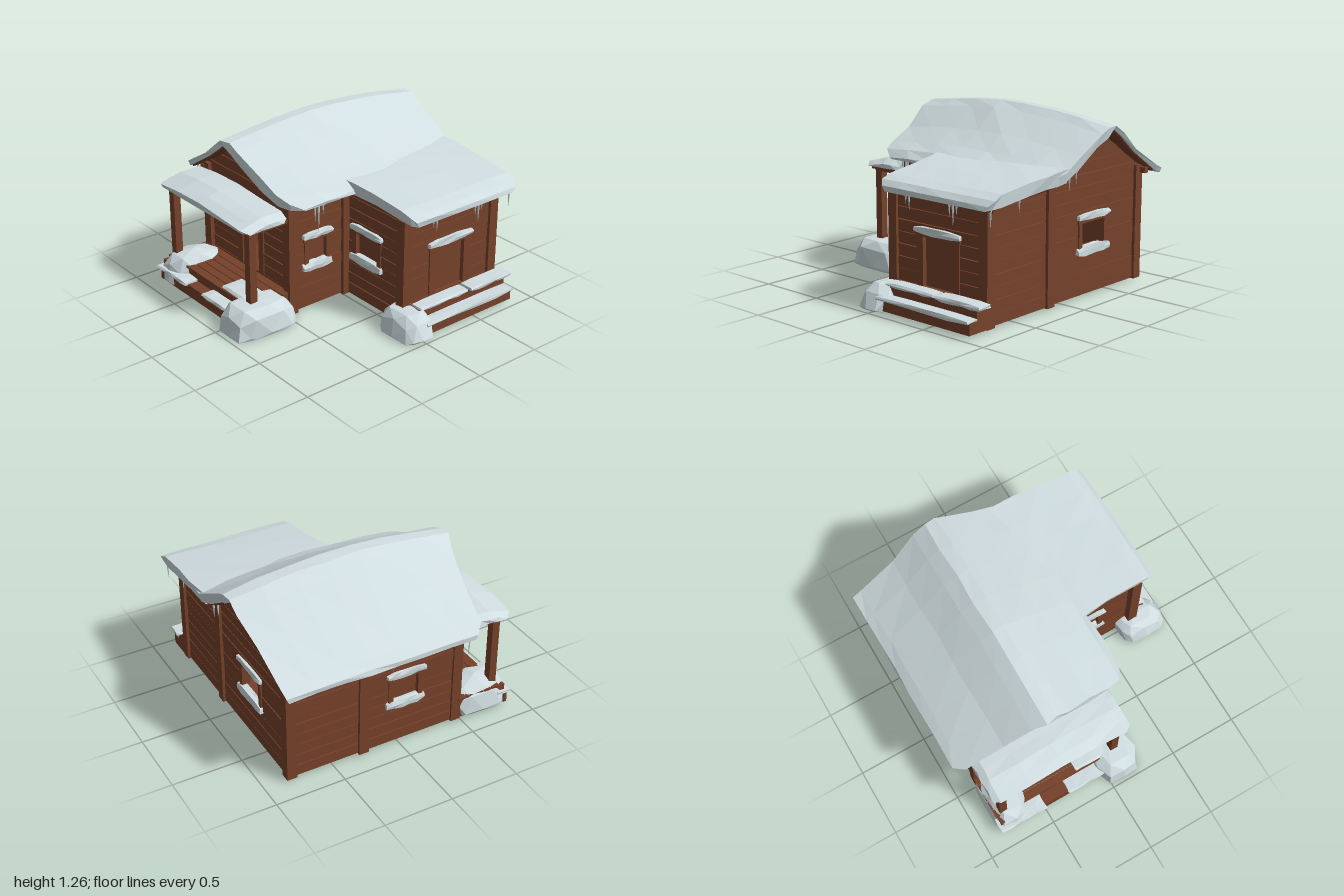
import * as THREE from 'three';

const mat = (name, color) => Object.assign(new THREE.MeshStandardMaterial({ color }), { name });
const wood = mat('wood', 0x75412a);
const snow = mat('snow', 0xd0dde0);

// Repeatable noise in -1..1 from a position
const noise = (x, y, z) => {
  const s = Math.sin(Math.round(x * 999) * 12.9 + Math.round(y * 999) * 78.2 + Math.round(z * 999) * 37.7) * 43758.5;
  return (s - Math.floor(s)) * 2 - 1;
};

function faceted(geo) {
  const g = geo.index ? geo.toNonIndexed() : geo;
  g.computeVertexNormals();
  return g;
}

function add(parent, name, geo, material, x = 0, y = 0, z = 0) {
  const m = new THREE.Mesh(geo, material);
  m.name = name;
  m.position.set(x, y, z);
  parent.add(m);
  return m;
}

// Wooden box given by its limits
const block = (parent, name, x0, x1, y0, y1, z0, z1) =>
  add(parent, name, new THREE.BoxGeometry(x1 - x0, y1 - y0, z1 - z0), wood, (x0 + x1) / 2, (y0 + y1) / 2, (z0 + z1) / 2);

// Uneven bar of snow with tapered ends, given by its limits
function snowBar(parent, name, x0, x1, y0, y1, z0, z1) {
  const w = x1 - x0, h = y1 - y0, d = z1 - z0, alongX = w > d;
  const g = new THREE.BoxGeometry(w, h, d, alongX ? 5 : 2, 2, alongX ? 2 : 5);
  const p = g.attributes.position;
  for (let i = 0; i < p.count; i++) {
    const x = p.getX(i), y = p.getY(i), z = p.getZ(i);
    const end = Math.abs(alongX ? x / w : z / d) > 0.45 ? 0.65 : 1;
    const corner = Math.abs(y / h) > 0.4 ? 0.85 : 1;
    const n = noise(x + x0, y + y0, z + z0);
    p.setXYZ(i, x * (alongX ? 1 : corner) + n * 0.004, y * end * (1 + n * 0.15), z * (alongX ? corner : 1) + n * 0.004);
  }
  add(parent, name, faceted(g), snow, (x0 + x1) / 2, (y0 + y1) / 2, (z0 + z1) / 2);
}

// Blocky drift, widest at its flat base; the top leans by leanX and leanZ
function drift(parent, name, x0, x1, y0, y1, z0, z1, leanX = 0, leanZ = 0) {
  const g = new THREE.IcosahedronGeometry(1, 1);
  const p = g.attributes.position;
  const swell = v => Math.sign(v) * Math.abs(v) ** 0.7;
  for (let i = 0; i < p.count; i++) {
    const x = p.getX(i), y = p.getY(i), z = p.getZ(i);
    const k = 0.99 + noise(x + x0, y, z + z0) * 0.07;
    const up = (Math.max(swell(y) * k, -0.1) + 0.1) / 1.1;
    p.setXYZ(i, swell(x) * k * (x1 - x0) / 2 + up * leanX, up * (y1 - y0), swell(z) * k * (z1 - z0) / 2 + up * leanZ);
  }
  add(parent, name, faceted(g), snow, (x0 + x1) / 2, y0, (z0 + z1) / 2);
}

// Sheet swept along z; columns are [x, topY, bottomY, zBack, zFront], sag bends the top by z
function slab(parent, name, material, cols, rows, sag, rough) {
  const m = cols.length, n = 2 * m, pos = [], idx = [];
  for (let i = 0; i <= rows; i++) {
    for (let k = 0; k < n; k++) {
      const top = k < m, [x, yt, yb, zb, zf] = cols[top ? k : n - 1 - k];
      const inset = top ? 0 : 0.015;
      const z = THREE.MathUtils.lerp(zb + inset, zf - inset, i / rows);
      const r = noise(x, top ? 1 : 2, i / rows) * rough;
      pos.push(x + r, (top ? yt - sag(z, yt) : yb) + r * 0.5, z + r);
    }
  }
  for (let i = 0; i < rows; i++) for (let k = 0; k < n; k++) {
    const a = i * n + k, b = i * n + (k + 1) % n, c = a + n, d = b + n;
    idx.push(a, c, b, b, c, d);
  }
  for (let j = 0; j < m - 1; j++) {
    const f = rows * n, t0 = j, t1 = j + 1, b0 = n - 1 - j, b1 = n - 2 - j;
    idx.push(f + t0, f + b0, f + b1, f + t0, f + b1, f + t1);
    idx.push(t0, b1, b0, t0, t1, b1);
  }
  const g = new THREE.BufferGeometry();
  g.setAttribute('position', new THREE.Float32BufferAttribute(pos, 3));
  g.setIndex(idx);
  add(parent, name, faceted(g), material);
}

const flat = () => 0;

// Thin wooden boarding just under a snow slab
const boarding = (parent, name, cols) =>
  slab(parent, name, wood, cols.map(([x, , yb, zb, zf]) => [x, yb + 0.008, yb - 0.014, zb + 0.025, zf - 0.025]), 1, flat, 0);

const extrude = (pts, depth, holes = []) => {
  const s = new THREE.Shape(pts.map(p => new THREE.Vector2(...p)));
  holes.forEach(h => s.holes.push(new THREE.Path(h.map(p => new THREE.Vector2(...p)))));
  return new THREE.ExtrudeGeometry(s, { depth, bevelEnabled: false });
};

const ROW = 0.25 / 3, BASE = 0.02;

// Plank wall facing local +z, with framed openings {x, w, door, open, bare} and an optional gable apex
function wall(parent, name, x, z, turn, len, top, openings = [], apex = 0) {
  const g = new THREE.Group();
  g.name = name;
  g.position.set(x, 0, z);
  g.rotation.y = turn;
  parent.add(g);
  const hw = len / 2, peak = apex || top;
  const half = y => (apex && y > top ? hw * Math.max(0.01, (apex - y) / (apex - top)) : hw);
  const lim = o => [o.x - o.w / 2, o.x + o.w / 2, BASE + ROW * (o.door ? 2 : 4), BASE + ROW * 6];
  // inner lining behind the planks
  const outline = [[-hw, BASE], [hw, BASE], [hw, top]];
  if (apex) outline.push([0, apex]);
  outline.push([-hw, top]);
  const holes = openings.filter(o => o.open).map(o => {
    const [a, b, c, d] = lim(o);
    return [[a, c], [a, d], [b, d], [b, c]];
  });
  add(g, 'innerLining', extrude(outline, 0.02, holes), wood, 0, 0, -0.052);
  // planks, cut at openings
  for (let y0 = BASE; y0 < peak - 0.01; y0 += ROW) {
    const y1 = Math.min(y0 + ROW, peak), mid = (y0 + y1) / 2;
    let spans = [[-len, len]];
    for (const o of openings) {
      const [a, b, c, d] = lim(o);
      if (mid > c && mid < d) spans = spans.flatMap(([l, r]) => [[l, a], [b, r]]);
    }
    for (const [l, r] of spans) {
      const cl = (v, y) => THREE.MathUtils.clamp(v, -half(y), half(y));
      const j = k => 0.0025 + 0.0025 * noise(l + x, mid + k, r + z);
      const pts = [[cl(l, y0), y0 + j(1)], [cl(r, y0), y0 + j(2)], [cl(r, y1), y1 - j(3)], [cl(l, y1), y1 - j(4)]];
      add(g, 'plank', extrude(pts, 0.031 + j(5)), wood, 0, 0, -0.033);
    }
  }
  // frames, panes and snow on the openings
  for (const o of openings) {
    const [a, b, c, d] = lim(o), t = o.door ? 0.055 : 0.035;
    if (!o.open) block(g, o.door ? 'door' : 'shutter', a, b, c, d, -0.03, -0.021);
    block(g, 'frameSide', a - t, a, c, d, -0.04, 0.01);
    block(g, 'frameSide', b, b + t, c, d, -0.04, 0.01);
    block(g, 'lintel', a - t - 0.01, b + t + 0.01, d, d + 0.03, -0.04, 0.014);
    if (!o.door) block(g, 'sill', a - t, b + t, c - 0.03, c, -0.04, 0.014);
    if (!o.bare) snowBar(g, 'lintelSnow', a - t - 0.015, b + t + 0.015, d + 0.018, d + 0.065, -0.02, 0.026);
    if (!o.door) snowBar(g, 'sillSnow', a - t - 0.02, b + t + 0.01, c - 0.055, c + 0.005, -0.03, 0.026);
  }
}

export function createModel() {
  const house = new THREE.Group();
  house.name = 'snowyCabin';

  // Walls
  const q = Math.PI / 2;
  wall(house, 'frontWall', -0.35, 0.46, 0, 0.94, 0.85, [{ x: 0.035, w: 0.19, door: true, open: true, bare: true }], 1.155);
  wall(house, 'backWall', -0.35, -0.82, 2 * q, 0.94, 0.85, [{ x: -0.04, w: 0.24, open: true }], 1.155);
  wall(house, 'leftWing frontWall', 0.43, -0.03, 0, 0.62, 0.85, [{ x: -0.075, w: 0.22 }]);
  wall(house, 'leftWing backWall', 0.43, -0.82, 2 * q, 0.62, 0.85);
  wall(house, 'leftWing sideWall', 0.76, -0.42, q, 0.8, 0.83, [{ x: -0.01, w: 0.26, door: true }]);
  wall(house, 'leftWall', 0.135, 0.22, q, 0.5, 0.87, [{ x: -0.015, w: 0.15 }]);
  wall(house, 'rightWall', -0.83, -0.18, -q, 1.28, 0.83, [{ x: 0.23, w: 0.19 }]);

  // Floor
  block(house, 'mainFloor', -0.82, 0.13, 0.03, 0.06, -0.81, 0.45);
  block(house, 'wingFloor', 0.13, 0.75, 0.03, 0.06, -0.81, -0.04);

  // Upright corner and wall posts
  for (const [x, z, h] of [[-0.81, 0.455, 0.83], [0.125, 0.455, 0.87], [0.125, -0.015, 0.87], [0.745, -0.015, 0.81],
    [0.745, -0.805, 0.82], [0.15, -0.805, 0.87], [-0.81, -0.805, 0.83], [-0.815, -0.27, 0.83]])
    block(house, 'post', x - 0.036, x + 0.036, 0.015, h, z - 0.036, z + 0.036);

  // Roof beams
  block(house, 'ridgeBeam', -0.38, -0.31, 1.09, 1.13, -0.88, 0.53);
  block(house, 'rightEaveBeam', -0.86, -0.82, 0.77, 0.81, -0.88, 0.5);
  block(house, 'leftEaveBeam', 0.74, 0.78, 0.77, 0.81, -0.89, 0.0);

  // Snow roof over the main house and the wing, thinning towards both gables
  const sag = (z, y) => {
    const t = z + 0.05;
    return Math.sqrt(Math.max(0, (y - 0.79) / 0.47)) * (t > 0 ? 0.068 * (t / 0.71) ** 1.4 : 0.085 * (t / 0.92) ** 2);
  };
  const mainRoof = [
    [-0.985, 0.79, 0.755, -0.9, 0.5], [-0.92, 0.845, 0.785, -0.91, 0.56], [-0.65, 1.025, 0.95, -0.93, 0.59],
    [-0.45, 1.19, 1.085, -0.965, 0.63], [-0.36, 1.255, 1.145, -0.975, 0.66], [-0.27, 1.26, 1.1, -0.97, 0.65],
    [-0.2, 1.215, 1.05, -0.965, 0.64], [0.0, 1.085, 0.925, -0.955, 0.61],
    [0.16, 0.99, 0.865, -0.95, 0.59], [0.26, 0.945, 0.86, -0.94, 0.56], [0.315, 0.89, 0.86, -0.93, 0.48],
  ];
  const wingRoof = [
    [0.12, 0.96, 0.86, -0.94, 0.02], [0.22, 0.95, 0.85, -0.945, 0.08], [0.32, 0.94, 0.845, -0.95, 0.06],
    [0.5, 0.92, 0.835, -0.945, 0.04], [0.75, 0.89, 0.81, -0.94, 0.03], [0.83, 0.865, 0.8, -0.94, 0.02],
    [0.865, 0.83, 0.795, -0.91, -0.01],
  ];
  slab(house, 'mainRoofSnow', snow, mainRoof, 7, sag, 0.008);
  slab(house, 'wingRoofSnow', snow, wingRoof, 5, flat, 0.006);
  boarding(house, 'mainRoofBoards', mainRoof.slice(1, -1));
  boarding(house, 'wingRoofBoards', wingRoof.slice(0, -1));

  // Front porch: low step, boarded deck, posts, beams and snow roof
  block(house, 'porchStepFront', -0.85, 0.08, 0.02, 0.105, 0.855, 0.88);
  block(house, 'porchStepTread', -0.85, 0.08, 0.095, 0.11, 0.78, 0.88);
  block(house, 'deckFront', -0.84, 0.13, 0.11, 0.17, 0.78, 0.8);
  for (const x of [-0.84, 0.11]) block(house, 'deckSide', x, x + 0.03, 0.02, 0.17, 0.48, 0.86);
  for (let i = 0; i < 5; i++) block(house, 'deckBoard', -0.85, 0.14, 0.17, 0.185, 0.475 + i * 0.068, 0.537 + i * 0.068);
  for (const x of [-0.785, 0.11]) {
    block(house, 'porchPost', x - 0.028, x + 0.028, 0.11, 0.72, 0.745, 0.8);
    block(house, 'porchSideBeam', x - 0.025, x + 0.025, 0.705, 0.74, 0.46, 0.81);
  }
  block(house, 'porchRoofBoards', -0.84, 0.16, 0.722, 0.745, 0.5, 0.82);
  const porch = [[-0.865, 0.78, 0.745], [-0.82, 0.81, 0.735], [-0.6, 0.83, 0.735], [-0.35, 0.835, 0.735],
    [-0.1, 0.82, 0.735], [0.13, 0.81, 0.735], [0.185, 0.775, 0.745]];
  slab(house, 'porchRoofSnow', snow, porch.map((c, i) => [...c, 0.53, i % 6 ? 0.86 : 0.82]), 4, z => Math.max(0, z - 0.7) * 0.28, 0.008);

  // Hollow steps beside the wing
  for (const [x, y] of [[0.945, 0.02], [0.875, 0.1]]) {
    block(house, 'sideStepRiser', x - 0.025, x, y, y + 0.08, -0.84, -0.02);
    block(house, 'sideStepTread', 0.77, x, y + 0.065, y + 0.08, -0.84, -0.02);
    for (const z of [-0.84, -0.045]) block(house, 'sideStepEnd', 0.77, x, y, y + 0.07, z, z + 0.025);
  }
  snowBar(house, 'lowerStepSnow', 0.87, 0.97, 0.09, 0.12, -0.84, -0.04);
  snowBar(house, 'upperStepSnow', 0.79, 0.905, 0.17, 0.205, -0.88, -0.5);
  snowBar(house, 'upperStepSnow', 0.79, 0.89, 0.17, 0.2, -0.48, -0.05);

  // Snow patches on the porch
  snowBar(house, 'stepSnow', -0.86, -0.5, 0.1, 0.13, 0.79, 0.91);
  snowBar(house, 'stepSnow', -0.31, -0.02, 0.1, 0.13, 0.79, 0.9);
  snowBar(house, 'deckSnow', -0.2, 0.08, 0.175, 0.205, 0.62, 0.8);

  // Snow drifts
  drift(house, 'rightDrift', -0.88, -0.57, 0.02, 0.25, 0.45, 0.9);
  drift(house, 'frontDrift', -0.07, 0.28, 0, 0.225, 0.45, 0.99);
  drift(house, 'wingDrift', 0.63, 1.01, 0.01, 0.2, -0.1, 0.15, -0.04, -0.04);

  // Icicles: x, top y, z, length
  const icicles = [[-0.92, 0.79, 0.48, 0.19], [-0.74, 0.75, 0.66, 0.2], [-0.72, 0.75, 0.68, 0.13], [0.29, 0.88, 0.34, 0.23],
    [0.29, 0.88, 0.37, 0.14], [0.3, 0.88, 0.31, 0.1], [0.83, 0.82, -0.22, 0.13], [0.83, 0.82, -0.19, 0.09],
    [0.83, 0.82, -0.6, 0.18], [0.83, 0.82, -0.57, 0.12], [0.83, 0.82, -0.63, 0.1], [0.82, 0.82, -0.9, 0.15],
    [0.55, 0.85, -0.9, 0.12], [0.05, 0.91, -0.9, 0.13], [-0.02, 0.95, -0.9, 0.13], [-0.92, 0.79, -0.1, 0.12]];
  for (const [x, y, z, l] of icicles) {
    add(house, 'icicle', new THREE.ConeGeometry(0.011, l, 5).rotateX(Math.PI), snow, x, y - l / 2, z);
  }
  return house;
}
